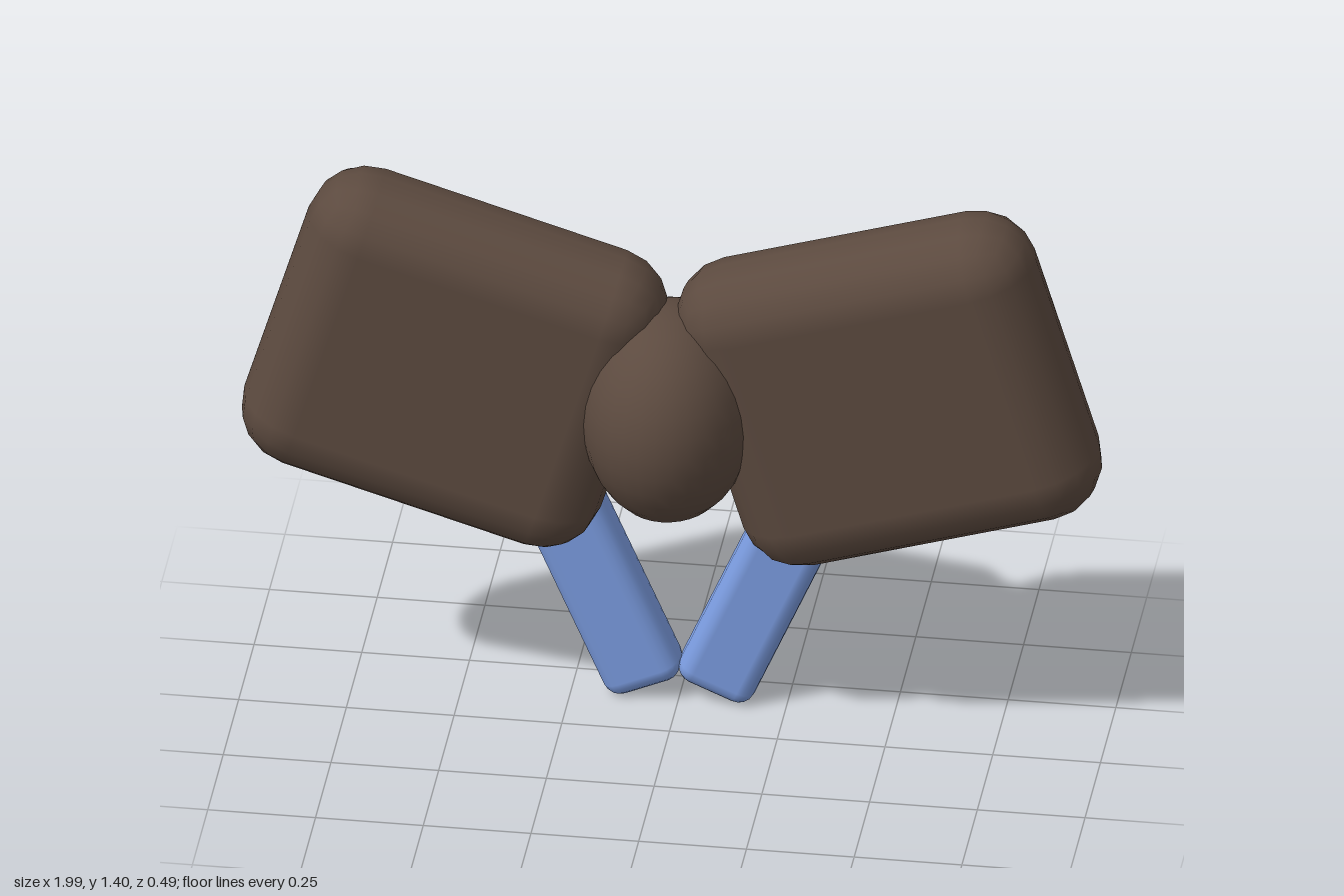
import * as THREE from 'three';

const brown = new THREE.MeshStandardMaterial({ name: 'brown cloth', color: 0x5c4a3f });
const blue = new THREE.MeshStandardMaterial({ name: 'blue ribbon', color: 0x7b9ce0 });

// Box with rounded edges: grid lines are moved onto arc angles, then pushed out from an inner box
function roundedBox(w, h, d, r) {
  const geo = new THREE.BoxGeometry(2, 2, 2, 5, 5, 5);
  const pos = geo.attributes.position, nor = geo.attributes.normal;
  const inner = [w / 2 - r, h / 2 - r, d / 2 - r];
  const arc = [0, Math.tan(Math.PI / 8), 1];
  const n = new THREE.Vector3();
  for (let i = 0; i < pos.count; i++) {
    const c = [pos.getX(i), pos.getY(i), pos.getZ(i)];
    const s = c.map(Math.sign);
    n.fromArray(c.map((v, k) => s[k] * arc[Math.round((Math.abs(v) - 0.2) / 0.4)])).normalize();
    nor.setXYZ(i, n.x, n.y, n.z);
    pos.setXYZ(i, s[0] * inner[0] + n.x * r, s[1] * inner[1] + n.y * r, s[2] * inner[2] + n.z * r);
  }
  return geo;
}

export function createModel() {
  const group = new THREE.Group();
  const add = (name, geo, mat, x, y, z, tilt = 0) => {
    const mesh = new THREE.Mesh(geo, mat);
    mesh.name = name;
    mesh.position.set(x, y, z);
    mesh.rotation.z = tilt;
    group.add(mesh);
    return mesh;
  };

  const loopGeo = roundedBox(0.865, 0.79, 0.29, 0.14);
  const tailGeo = roundedBox(0.188, 0.758, 0.12, 0.04);
  for (const [side, s] of [['left', 1], ['right', -1]]) {
    // Puffy loops of the bow, tipped up outwards
    add(side + 'Loop', loopGeo, brown, s * 0.504, 0.936, -0.04, s * 0.295);
    // Ribbon tails, meeting at the bottom behind the loops
    add(side + 'Tail', tailGeo, blue, s * 0.223, 0.373, -0.18, -s * 0.408);
  }

  // Knot in the middle
  const knot = add('knot', new THREE.SphereGeometry(1, 32, 16), brown, 0, 0.86, 0);
  knot.scale.set(0.203, 0.266, 0.245);
  return group;
}
